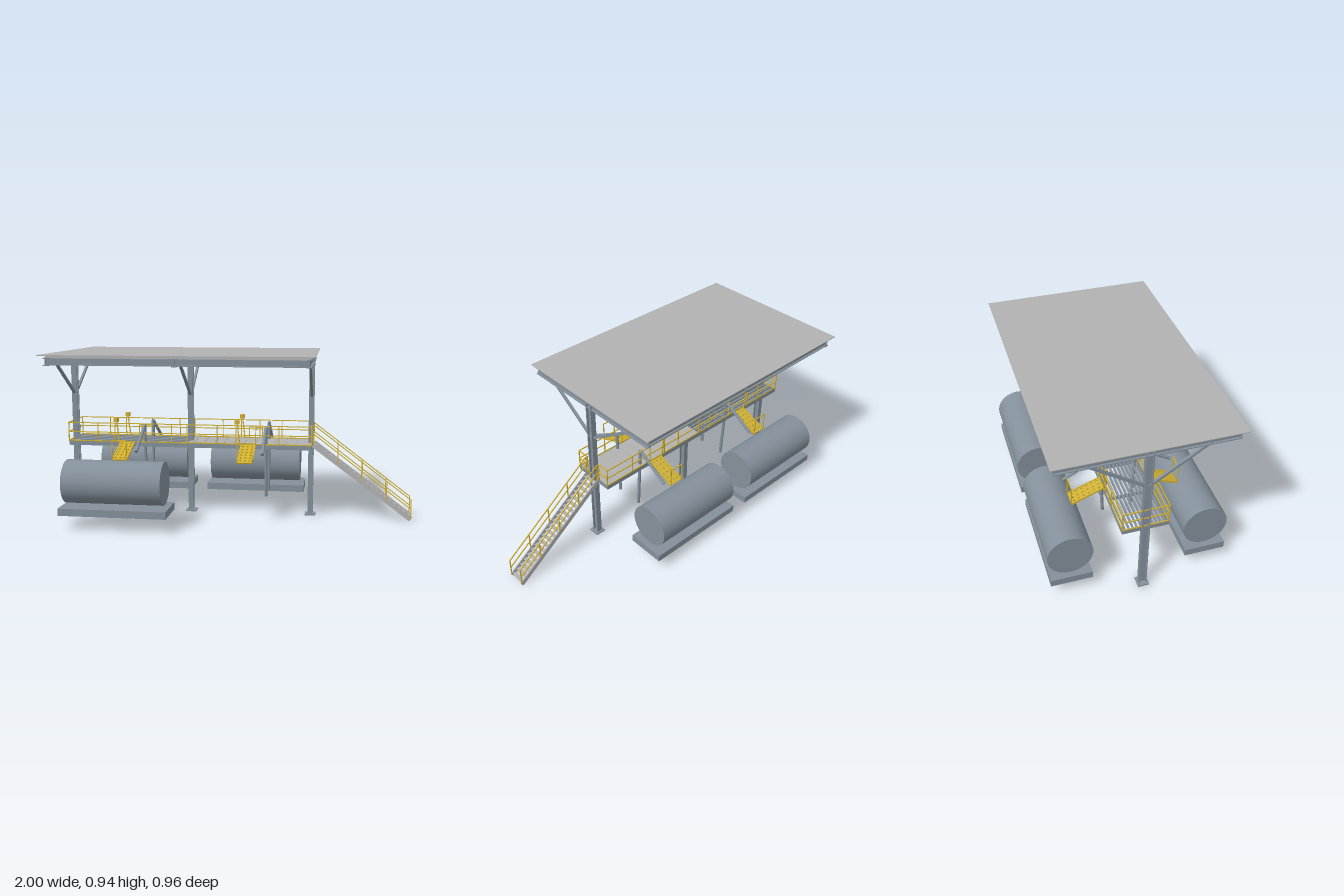
import * as THREE from 'three';

const mat = (name, color, side = THREE.FrontSide) => {
  const m = new THREE.MeshStandardMaterial({ color, side });
  m.name = name;
  return m;
};
const steel = mat('blue grey steel', 0x84909b);
const pale = mat('pale grey metal', 0xb2b2b2);
const yellow = mat('safety yellow', 0xd0b030);
const V = (x, y, z) => new THREE.Vector3(x, y, z);

export function createModel() {
  const model = new THREE.Group();
  model.name = 'loadingGantry';

  const add = (parent, name, geo, material, pos = V(0, 0, 0)) => {
    const m = new THREE.Mesh(geo, material);
    m.name = name;
    m.position.copy(pos);
    parent.add(m);
    return m;
  };
  const box = (parent, name, material, w, h, d, x, y, z) =>
    add(parent, name, new THREE.BoxGeometry(w, h, d), material, V(x, y, z));
  // Rectangular bar between two points (w sideways, h upward)
  const bar = (parent, name, material, a, b, w, h = w) => {
    const m = add(parent, name, new THREE.BoxGeometry(w, h, a.distanceTo(b)), material, a.clone().lerp(b, 0.5));
    m.lookAt(b);
    return m;
  };
  // Round pipe between two points
  const pipe = (parent, name, material, a, b, r) => {
    const g = new THREE.CylinderGeometry(r, r, a.distanceTo(b), 16).rotateX(Math.PI / 2);
    add(parent, name, g, material, a.clone().lerp(b, 0.5)).lookAt(b);
  };
  // Rolled I-section between two points
  const iBeam = (parent, name, a, b, w, h, t) => {
    const s = new THREE.Shape();
    const half = [[w / 2, -h / 2], [w / 2, -h / 2 + t], [t / 2, -h / 2 + t], [t / 2, h / 2 - t], [w / 2, h / 2 - t], [w / 2, h / 2]];
    const pts = [...half, ...half.map(([x, y]) => [-x, -y])];
    s.setFromPoints(pts.map(([x, y]) => new THREE.Vector2(x, y)));
    const g = new THREE.ExtrudeGeometry(s, { depth: a.distanceTo(b), bevelEnabled: false });
    add(parent, name, g, steel, a).lookAt(b);
  };

  // Columns, cross beams and diagonal braces
  const columnX = [-0.96, -0.27, 0.425];
  for (const x of columnX) {
    const frame = new THREE.Group();
    frame.name = 'portalFrame';
    model.add(frame);
    iBeam(frame, 'column', V(x, 0.015, 0), V(x, 0.905, 0), 0.03, 0.04, 0.005);
    box(frame, 'basePlate', steel, 0.06, 0.008, 0.06, x, 0.015, 0);
    iBeam(frame, 'crossBeam', V(x, 0.907, -0.448), V(x, 0.907, 0.448), 0.026, 0.043, 0.005);
    for (const s of [-1, 1])
      bar(frame, 'brace', steel, V(x, 0.69, 0), V(x, 0.895, s * 0.298), 0.014, 0.013);
  }

  // Canopy roof with longitudinal beams
  for (const z of [-0.435, 0, 0.435]) {
    iBeam(model, 'roofBeam', V(-0.96, 0.907, z), V(0.425, 0.907, z), 0.026, 0.036, 0.005);
    box(model, 'purlin', pale, 1.39, 0.014, 0.003, -0.267, 0.933, z);
  }
  box(model, 'roof', pale, 1.455, 0.004, 0.935, -0.2725, 0.942, 0);

  // Platform frame and grating
  const platform = new THREE.Group();
  platform.name = 'platform';
  model.add(platform);
  for (const s of [-1, 1]) {
    box(platform, 'sideBeam', steel, 1.395, 0.024, 0.006, -0.267, 0.419, s * 0.117);
    box(platform, 'toeStrip', yellow, 1.395, 0.006, 0.004, -0.267, 0.434, s * 0.118);
  }
  for (const x of [-0.962, -0.73, -0.5, -0.27, -0.04, 0.19, 0.428])
    box(platform, 'joist', steel, 0.006, 0.022, 0.234, x, 0.418, 0);
  for (let i = -5; i <= 5; i++)
    box(platform, 'gratingBar', steel, 0.69, 0.01, 0.009, -0.617, 0.425, i * 0.0205);
  box(platform, 'walkwayPlate', pale, 0.695, 0.004, 0.23, 0.078, 0.429, 0);
  for (let i = 0; i < 12; i++)
    box(platform, 'walkwayRib', pale, 0.004, 0.003, 0.23, -0.24 + i * 0.058, 0.432, 0);

  // Platform handrails
  const rails = new THREE.Group();
  rails.name = 'handrails';
  model.add(rails);
  const R = 0.005;
  const postX = [-0.964, -0.79, -0.69, -0.53, -0.36, -0.27, -0.1, 0.01, 0.12, 0.25, 0.43];
  for (const s of [-1, 1]) {
    const z = s * 0.119;
    for (const y of [0.485, 0.538]) {
      bar(rails, 'sideRail', yellow, V(-0.964, y, z), V(0.43, y, z), R);
      bar(rails, 'endRail', yellow, V(0.43, y, z), V(0.43, y, s * 0.048), R);
    }
    for (const x of postX) bar(rails, 'post', yellow, V(x, 0.43, z), V(x, 0.54, z), R);
    bar(rails, 'endPost', yellow, V(0.43, 0.43, s * 0.048), V(0.43, 0.54, s * 0.048), R);
  }
  for (const y of [0.434, 0.485, 0.538])
    bar(rails, 'endRail', yellow, V(-0.964, y, -0.119), V(-0.964, y, 0.119), R);

  // Access stair
  const stair = new THREE.Group();
  stair.name = 'stair';
  model.add(stair);
  const top = V(0.44, 0.425, 0), foot = V(0.99, 0.014, 0);
  for (const s of [-1, 1]) {
    const off = V(0, 0, s * 0.046);
    bar(stair, 'stringer', pale, top.clone().add(off), foot.clone().add(off), 0.006, 0.028);
    for (const h of [0.06, 0.112])
      bar(stair, 'stairRail', yellow, V(0.44, 0.428 + h, s * 0.048), V(0.99, 0.012 + h, s * 0.048), R);
    for (let i = 0; i < 5; i++) {
      const p = top.clone().lerp(foot, i / 4);
      bar(stair, 'stairPost', yellow, V(p.x, p.y, s * 0.048), V(p.x, p.y + 0.112, s * 0.048), R);
    }
  }
  for (let i = 0; i < 21; i++) {
    const p = top.clone().lerp(foot, (i + 0.5) / 21);
    box(stair, 'tread', pale, 0.022, 0.004, 0.09, p.x, p.y, 0);
  }

  // Tanks on plinths: two at the back, one at the front
  for (const [x, z] of [[-0.62, -0.36], [0.075, -0.36], [-0.62, 0.36]]) {
    const tank = new THREE.Group();
    tank.name = 'tankUnit';
    model.add(tank);
    const g = new THREE.CylinderGeometry(0.119, 0.119, 0.545, 64).rotateZ(Math.PI / 2);
    add(tank, 'tank', g, steel, V(x, 0.25, z));
    box(tank, 'plinth', steel, 0.595, 0.04, 0.219, x + 0.002, 0.1, z);
  }

  // Perforated gangway plate
  const plate = new THREE.Shape();
  const W = 0.0425, L = 0.183;
  plate.moveTo(-W, 0).lineTo(W, 0).lineTo(W, L).lineTo(-W, L).closePath();
  for (let i = -1; i <= 1; i++)
    for (let j = 0; j < 6; j++) {
      const hole = new THREE.Path();
      hole.absarc(i * 0.025, 0.018 + j * 0.029, 0.006, 0, Math.PI * 2, true);
      plate.holes.push(hole);
    }
  const plateGeo = new THREE.ExtrudeGeometry(plate, { depth: 0.007, bevelEnabled: false, curveSegments: 4 });
  plateGeo.rotateX(Math.PI / 2);

  // Loading stations on both sides: gangway, signal box and arm
  for (const s of [-1, 1]) for (const x of [-0.617, 0.078]) {
    const station = new THREE.Group();
    station.name = 'loadingStation';
    model.add(station);
    const gangway = add(station, 'gangway', plateGeo, yellow, V(x, 0.43, s * 0.12));
    gangway.lookAt(V(x, 0.362, s * 0.29));
    for (const e of [-1, 1]) {
      const px = x + e * 0.04;
      bar(station, 'gangwayEdge', yellow, V(px, 0.429, s * 0.12), V(px, 0.362, s * 0.29), 0.006, 0.008);
      bar(station, 'gangwayPost', yellow, V(px, 0.36, s * 0.289), V(px, 0.47, s * 0.289), R);
    }
    bar(station, 'gangwayRail', yellow, V(x - 0.04, 0.468, s * 0.289), V(x + 0.04, 0.468, s * 0.289), R);
    bar(station, 'signalPost', yellow, V(x - 0.047, 0.42, s * 0.12), V(x - 0.062, 0.55, s * 0.12), 0.006);
    box(station, 'signalBox', yellow, 0.024, 0.023, 0.028, x - 0.063, 0.5585, s * 0.121);
    const ax = x + 0.097;
    pipe(station, 'riserPipe', steel, V(ax, 0.13, s * 0.08), V(ax, 0.528, s * 0.1), 0.009);
    pipe(station, 'loadingArm', steel, V(ax, 0.527, s * 0.103), V(ax, 0.41, s * 0.296), 0.009);
  }
  return model;
}
